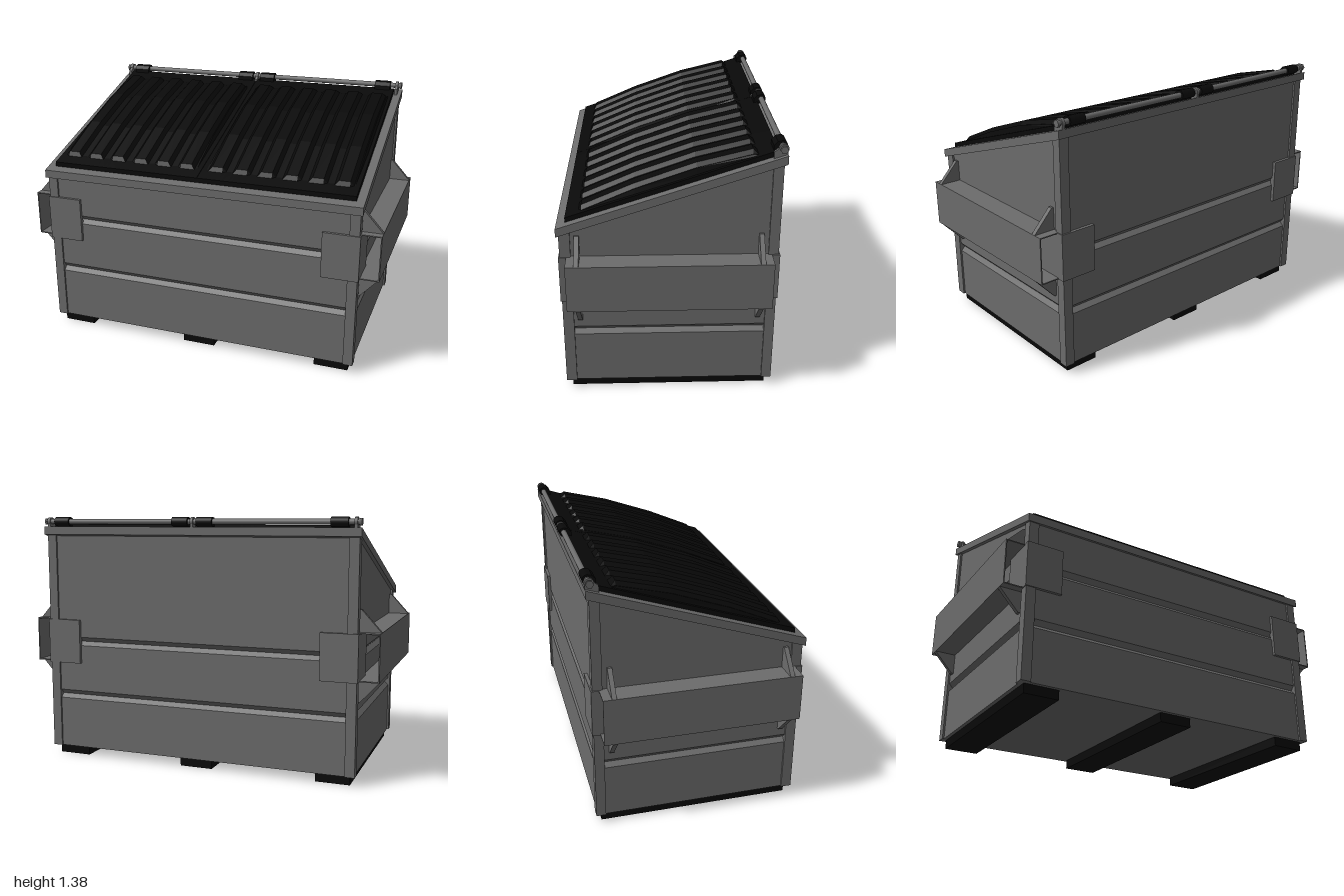
import * as THREE from 'three';

const steel = new THREE.MeshStandardMaterial({ color: 0x6c6c6c });
const black = new THREE.MeshStandardMaterial({ color: 0x090909 });
const blackSheet = new THREE.MeshStandardMaterial({ color: 0x090909, side: THREE.DoubleSide });

const SLOPE = 0.33;
const FRONT = 0.545, BACK = -0.541, HALF = 0.893;
const rimUnder = z => 0.911 + SLOPE * (0.558 - z);
const lidPlate = z => 0.995 + SLOPE * (0.513 - z);

export function createModel() {
  const root = new THREE.Group();
  root.name = 'dumpster';

  const add = (name, geo, mat = steel) => {
    const m = new THREE.Mesh(geo, mat);
    m.name = name;
    root.add(m);
  };
  // box given by its limits
  const box = (name, x0, x1, y0, y1, z0, z1, mat) =>
    add(name, new THREE.BoxGeometry(Math.abs(x1 - x0), y1 - y0, Math.abs(z1 - z0))
      .translate((x0 + x1) / 2, (y0 + y1) / 2, (z0 + z1) / 2), mat);
  // side profile of [z, y] points extruded from x0 to x1
  const prism = (name, pts, x0, x1, mat) => {
    const shape = new THREE.Shape(pts.map(p => new THREE.Vector2(...p)));
    const geo = new THREE.ExtrudeGeometry(shape, { depth: x1 - x0, bevelEnabled: false });
    add(name, geo.rotateY(-Math.PI / 2).translate(x1, 0, 0), mat);
  };
  const rod = (name, r, x0, x1, y, z, mat, sides = 16) =>
    add(name, new THREE.CylinderGeometry(r, r, x1 - x0, sides)
      .rotateZ(Math.PI / 2).translate((x0 + x1) / 2, y, z), mat);

  // wall panels: stacked rectangles with two V grooves running all round
  const levels = [[0.05, 0], [0.335, 0], [0.358, 0.022], [0.383, 0],
    [0.647, 0], [0.67, 0.022], [0.695, 0], [null, 0]];
  const pos = [], idx = [];
  for (const [y, groove] of levels) {
    const d = groove + 0.01;
    const w = HALF - d, f = FRONT - d, b = BACK + d;
    for (const [x, z] of [[-w, f], [w, f], [w, b], [-w, b]]) pos.push(x, y ?? rimUnder(z) + 0.01, z);
  }
  for (let r = 0; r < levels.length - 1; r++) {
    for (let k = 0; k < 4; k++) {
      const a = r * 4 + k, b = r * 4 + (k + 1) % 4;
      idx.push(a, b, b + 4, a, b + 4, a + 4);
    }
  }
  const t = (levels.length - 1) * 4;
  idx.push(0, 2, 1, 0, 3, 2, t, t + 1, t + 2, t, t + 2, t + 3);
  add('wallPanels', facets(pos, idx));

  // corner posts, cut to the slope of the rim
  for (const s of [-1, 1]) {
    const [x0, x1] = s < 0 ? [-HALF, -0.84] : [0.84, HALF];
    for (const [z0, z1] of [[BACK, -0.49], [0.49, FRONT]]) {
      prism('cornerPost', [[z0, 0.05], [z1, 0.05], [z1, rimUnder(z1) + 0.01], [z0, rimUnder(z0) + 0.01]], x0, x1);
    }
  }

  // sloping top rim
  prism('topRim', [[-0.556, rimUnder(-0.556)], [0.558, rimUnder(0.558)],
    [0.558, rimUnder(0.558) + 0.044], [-0.556, rimUnder(-0.556) + 0.044]], -0.905, 0.905);

  // floor skids
  for (const x of [-0.77, 0, 0.77]) box('skid', x - 0.093, x + 0.093, 0, 0.05, -0.51, 0.515, black);

  // fork pockets with wrap plates and gussets on each side
  for (const s of [-1, 1]) {
    const y0 = 0.545, y1 = 0.795, th = 0.006;
    box('pocketOuterWall', s * (1 - th), s, y0, y1, -0.508, 0.512);
    box('pocketTop', s * 0.88, s * (1 - th), y1 - th, y1, -0.508, 0.512);
    box('pocketBottom', s * 0.88, s * (1 - th), y0, y0 + th, -0.508, 0.512);
    box('frontWrapPlate', s * 0.7, s * 0.899, y0, y1, FRONT - 0.02, 0.551);
    box('backWrapPlate', s * 0.7, s * 0.899, y0, y1, -0.548, BACK + 0.02);
    box('sideWrapPlate', s * 0.88, s * 0.899, y0, y1, 0.34, 0.55);
    box('sideWrapPlate', s * 0.88, s * 0.899, y0, y1, -0.547, -0.34);
    for (const z of [-0.452, 0.457]) {
      for (const [ya, yb] of [[y1, 0.91], [y0, 0.43]]) {
        const tri = new THREE.Shape([[0.88, ya], [1, ya], [0.895, yb], [0.88, yb]]
          .map(([x, y]) => new THREE.Vector2(s * x, y)));
        add('gusset', new THREE.ExtrudeGeometry(tri, { depth: 0.024, bevelEnabled: false })
          .translate(0, 0, z - 0.012));
      }
    }
  }

  // two ribbed lids
  for (const s of [-1, 1]) add(s < 0 ? 'rightLid' : 'leftLid', lidGeometry(s), blackSheet);

  // hinge rod, brackets and lid knuckles
  const hy = 1.35, hz = -0.535;
  rod('hingeRod', 0.015, -0.9, 0.9, hy, hz);
  for (const x of [-0.875, 0, 0.875]) {
    rod('hingeBracketEye', 0.024, x - 0.008, x + 0.008, hy, hz);
    prism('hingeBracket', [[-0.555, 1.3], [-0.49, 1.28], [-0.49, 1.335], [-0.515, 1.355], [-0.555, 1.35]],
      x - 0.008, x + 0.008);
  }
  for (const s of [-1, 1]) {
    rod('rodEnd', 0.02, s * 0.897 - 0.006, s * 0.897 + 0.006, hy, hz, steel, 6);
    for (const c of [0.07, 0.792]) {
      const x0 = s * c - 0.045, x1 = s * c + 0.045;
      rod('hingeKnuckle', 0.025, x0, x1, hy, hz, black);
      prism('hingeTab', [[-0.53, 1.326], [-0.494, 1.315], [-0.494, 1.35], [-0.512, 1.37], [-0.53, 1.374]],
        x0, x1, black);
    }
  }
  return root;
}

// flat-shaded geometry from corners and triangles
function facets(pos, idx) {
  const g = new THREE.BufferGeometry();
  g.setAttribute('position', new THREE.Float32BufferAttribute(pos, 3));
  g.setIndex(idx);
  const flat = g.toNonIndexed();
  flat.computeVertexNormals();
  return flat;
}

// lid: a flat flange around an arched panel with lengthwise ribs
function lidGeometry(s) {
  // z and arch height above the flange, front to back
  const rows = [[0.513, -0.04], [0.513, 0], [0.447, 0], [0.433, 0.02], [0.17, 0.046],
    [-0.13, 0.052], [-0.4, 0.029], [-0.425, 0], [-0.515, 0], [-0.515, -0.04]];
  // x and state across: -1 skirt, 0 flange, 1 valley, 2 rib
  const cols = [[0.001, -1], [0.001, 0], [0.028, 0], [0.036, 1]];
  for (let i = 0; i < 6; i++) {
    const c = 0.09 + i * 0.138;
    cols.push([c - 0.05, 1], [c - 0.03, 2], [c + 0.03, 2], [c + 0.05, 1]);
  }
  cols.push([0.835, 1], [0.842, 0], [0.86, 0], [0.86, -1]);

  const pos = [], idx = [], n = cols.length;
  for (const [z, h] of rows) {
    for (const [x, state] of cols) {
      const lift = h < 0 ? h : [-0.04, 0, Math.max(0, h - 0.02), h][state + 1];
      pos.push(s * x, lidPlate(z) + lift, z);
    }
  }
  for (let r = 0; r < rows.length - 1; r++) {
    for (let c = 0; c < n - 1; c++) {
      const a = r * n + c, b = a + 1, d = a + n, e = d + 1;
      if (s > 0) idx.push(a, b, e, a, e, d);
      else idx.push(a, e, b, a, d, e);
    }
  }
  return facets(pos, idx);
}
